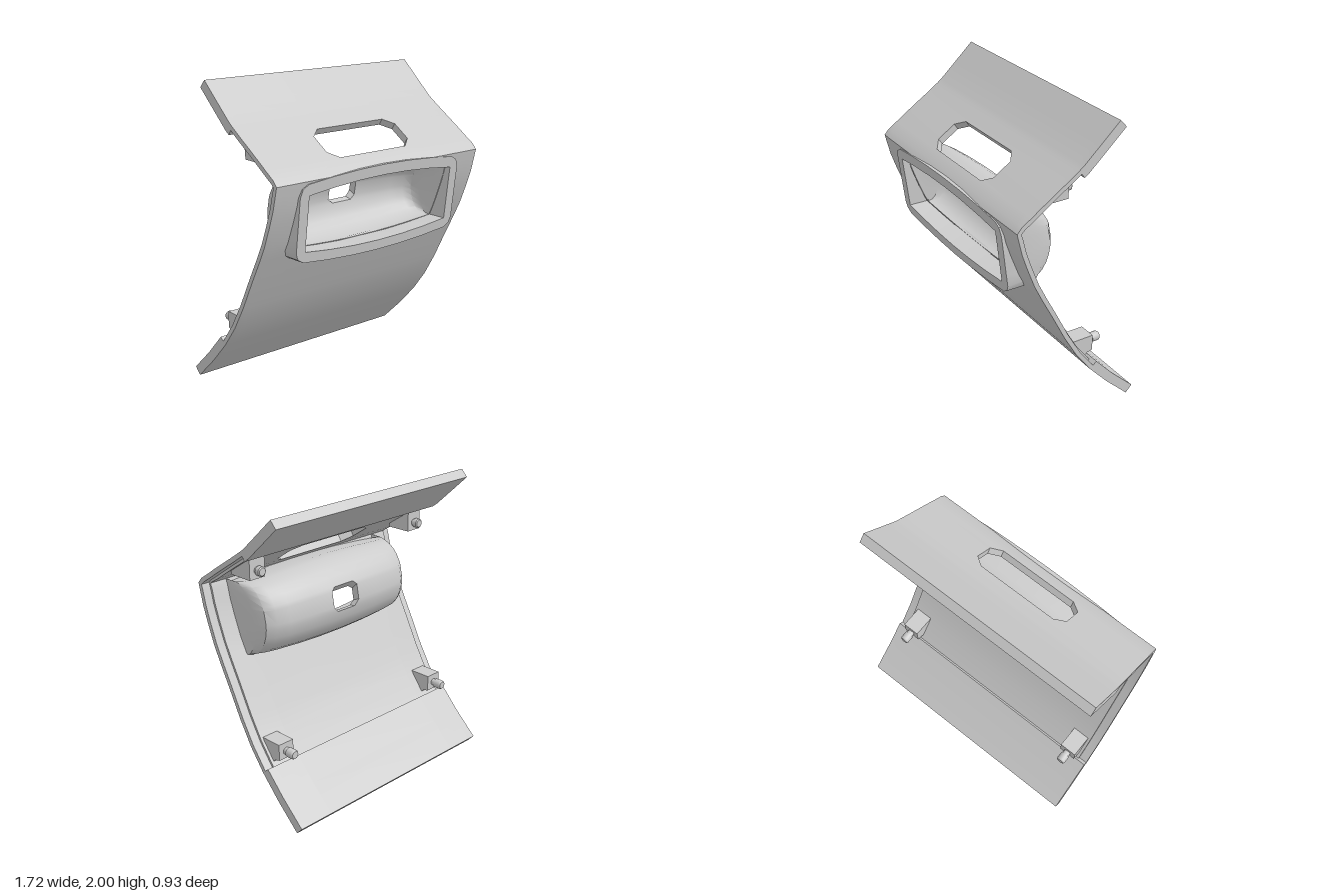
import * as THREE from 'three';
import { toCreasedNormals } from 'three/addons/utils/BufferGeometryUtils.js';

const MAT = new THREE.MeshStandardMaterial({ color: 0xcccccc, side: THREE.DoubleSide });
const rad = THREE.MathUtils.degToRad;

// Panel outline from top to bottom: [z, y, thickness, edge thickness, half width of opening, opening below?]
const ROWS = [
  [-0.25, 2.0, 0.067, 0.067, 0.28],
  [-0.12, 1.88, 0.067, 0.067, 0.28],
  [0, 1.77, 0.067, 0.067, 0.28],
  [0.03, 1.748, 0.067, 0.067, 0.28],
  [0.03, 1.748, 0.048, 0.03, 0.28],
  [0.13, 1.68, 0.048, 0.03, 0.28, 1],
  [0.18, 1.648, 0.048, 0.03, 0.35, 1],
  [0.30, 1.568, 0.048, 0.03, 0.35, 1],
  [0.35, 1.533, 0.048, 0.03, 0.28],
  [0.42, 1.487, 0.045, 0.03, 0.5],
  [0.452, 1.45, 0.045, 0.03, 0.645],
  [0.44, 1.40, 0.045, 0.03, 0.645, 1],
  [0.415, 1.30, 0.045, 0.03, 0.645, 1],
  [0.38, 1.20, 0.045, 0.03, 0.645, 1],
  [0.325, 1.06, 0.045, 0.03, 0.645, 1],
  [0.27, 0.95, 0.045, 0.03, 0.645],
  [0.19, 0.80, 0.045, 0.03, 0.6],
  [0.095, 0.615, 0.045, 0.03, 0.6],
  [0, 0.455, 0.045, 0.03, 0.6],
  [-0.11, 0.31, 0.045, 0.03, 0.6],
  [-0.11, 0.31, 0.065, 0.065, 0.6],
  [-0.25, 0.16, 0.065, 0.065, 0.6],
  [-0.42, 0, 0.065, 0.065, 0.6],
];

// z of the panel's outer face at a height below the fold
function panelZ(y) {
  const yy = Math.min(y, 1.42);
  for (let i = 10; i < ROWS.length - 1; i++) {
    const [z0, y0] = ROWS[i], [z1, y1] = ROWS[i + 1];
    if (yy <= y0 && yy >= y1 && y0 > y1) return z0 + (z1 - z0) * (y0 - yy) / (y0 - y1);
  }
  return 0;
}

// Closed sheet between a front and a back grid of points, with walls round every missing cell
function sheet(front, back, isHole) {
  const pos = [], nr = front.length - 1, nc = front[0].length - 1;
  const tri = (a, b, c) => {
    const n = b.clone().sub(a).cross(c.clone().sub(a));
    if (n.length() > 1e-9) for (const p of [a, b, c]) pos.push(p.x, p.y, p.z);
  };
  const quad = (a, b, c, d) => { tri(a, b, c); tri(a, c, d); };
  const solid = (i, j) => i >= 0 && j >= 0 && i < nr && j < nc && !isHole(i, j);
  for (let i = 0; i < nr; i++) for (let j = 0; j < nc; j++) {
    if (!solid(i, j)) continue;
    const c = [[i, j], [i + 1, j], [i + 1, j + 1], [i, j + 1]];
    const f = c.map(([a, b]) => front[a][b]), k = c.map(([a, b]) => back[a][b]);
    quad(...f);
    quad(k[3], k[2], k[1], k[0]);
    [[i, j - 1], [i + 1, j], [i, j + 1], [i - 1, j]].forEach(([a, b], e) => {
      const n = (e + 1) % 4;
      if (!solid(a, b)) quad(f[e], k[e], k[n], f[n]);
    });
  }
  const g = new THREE.BufferGeometry();
  g.setAttribute('position', new THREE.Float32BufferAttribute(pos, 3));
  return toCreasedNormals(g, 0.62);
}

function panelGeometry() {
  const front = [], back = [];
  ROWS.forEach(([z, y, t, te, h], i) => {
    // averaged inward normal, skipping over doubled rows
    const differs = (r) => r[1] !== y;
    const prev = ROWS.slice(0, i).reverse().find(differs) || ROWS[i];
    const next = ROWS.slice(i + 1).find(differs) || ROWS[i];
    const n = new THREE.Vector2(next[1] - prev[1], prev[0] - next[0]).normalize();
    const cols = [[-0.86, te], [-0.8, te], [-0.8, t], [-h, t], [h, t], [0.8, t], [0.8, te], [0.86, te]];
    front.push(cols.map(([x]) => new THREE.Vector3(x, y, z)));
    back.push(cols.map(([x, d]) => new THREE.Vector3(x, y + n.y * d, z + n.x * d)));
  });
  return sheet(front, back, (i, j) => j === 3 && ROWS[i][5] === 1);
}

// Bowl behind the opening: rows sweep from the top rim round the back to the bottom rim
function bowlGeometry() {
  const angles = [90, 78, 66, 54, 42, 28, 22, 0, -8, -22, -36, -50, -64, -77, -90];
  const holeWidth = { 28: 0.085, 22: 0.115, 0: 0.115, '-8': 0.08 };
  const keep = [1, 1, 1, 0.97, 0.86, 0.6, 0];
  const grid = (xs, yc, b0, a0, rimScale) => {
    const point = (x, k, s, c, rim) => {
      const q = 1 - (x / xs[6]) ** 2;
      const y = yc + (b0 + 0.035 * q) * s * (rim ? rimScale : 1);
      const zr = panelZ(y) - 0.03;
      const z = Math.min(zr, 0.25 - (a0 + 0.04 * q) * c);
      return new THREE.Vector3(x, y, rim ? zr : zr + (z - zr) * k);
    };
    const row = (deg, rim) => {
      const s = Math.sin(rad(deg)), c = Math.cos(rad(deg));
      const half = xs.map((x, i) => [i === 0 ? holeWidth[deg] || 0.1 : x, keep[i]]);
      const all = [...half.map(([x, k]) => [-x, k]).reverse(), ...half];
      return all.map(([x, k]) => point(x, k, s, c, rim));
    };
    return [row(90, true), ...angles.map((d) => row(d, false)), row(-90, true)];
  };
  const inside = grid([0.1, 0.28, 0.43, 0.53, 0.58, 0.605, 0.61], 1.18, 0.18, 0.17, 1);
  const outside = grid([0.1, 0.3, 0.48, 0.58, 0.64, 0.67, 0.677], 1.2, 0.24, 0.22, 0.88);
  return sheet(inside, outside, (i, j) => j === 6 && i >= 6 && i <= 8);
}

// Bowed rectangle: corners cut by r, top and bottom edges arched outward
function bowedOutline(path, w, top, bottom, bow, r) {
  const xs = [-1, -0.67, -0.33, 0, 0.33, 0.67, 1].map((t) => t * (w - r));
  const arch = (x) => bow * (1 - (x / w) ** 2);
  const corner = r * 0.3;
  const pts = xs.map((x) => [x, bottom - arch(x)]);
  if (r > 0) pts.push([w - corner, bottom + corner]);
  for (const t of [r ? r : 0.03, 0.14, 0.26]) pts.push([w, bottom + t]);
  pts.push([w, top - r - 0.01]);
  if (r > 0) pts.push([w - corner, top - corner]);
  const left = pts.slice(7).reverse().map(([x, y]) => [-x, y]);
  pts.push(...xs.slice().reverse().map((x) => [x, top + arch(x)]), ...left);
  path.setFromPoints(pts.map(([x, y]) => new THREE.Vector2(x, y)));
  return path;
}

// Raised rim: sloped flat face, its rear edge following the panel
function rimGeometry() {
  const shape = bowedOutline(new THREE.Shape(), 0.68, 1.425, 0.94, 0.045, 0.06);
  shape.holes.push(bowedOutline(new THREE.Path(), 0.61, 1.36, 1.0, 0.04, 0));
  const g = new THREE.ExtrudeGeometry(shape, { depth: 1, bevelEnabled: false });
  const p = g.attributes.position;
  for (let i = 0; i < p.count; i++) {
    const y = p.getY(i);
    p.setZ(i, p.getZ(i) > 0.5 ? 0.39 + (y - 0.9) * 0.124 : panelZ(y) - 0.025);
  }
  return toCreasedNormals(g, 0.6);
}

// Mounting block (side outline in z, y) with a headed pin pointing backwards
function mount(name, outline, pinY, pinZ, length) {
  const group = new THREE.Group();
  group.name = name;
  const shape = new THREE.Shape(outline.map(([z, y]) => new THREE.Vector2(-z, y)));
  const block = new THREE.ExtrudeGeometry(shape, { depth: 0.12, bevelEnabled: false });
  block.translate(0, 0, -0.06).rotateY(Math.PI / 2);
  const profile = [[0, 0], [0.025, 0], [0.025, length * 0.3], [0.032, length * 0.3],
    [0.032, length * 0.88], [0.025, length], [0, length]].map(([r, l]) => new THREE.Vector2(r, l));
  const pin = toCreasedNormals(new THREE.LatheGeometry(profile, 16), 0.6);
  pin.rotateX(-Math.PI / 2).translate(0, pinY, pinZ);
  group.add(part('mountBlock', block), part('mountPin', pin));
  return group;
}

function part(name, geometry) {
  const mesh = new THREE.Mesh(geometry, MAT);
  mesh.name = name;
  return mesh;
}

export function createModel() {
  const model = new THREE.Group();
  model.name = 'recessedPanel';
  model.add(part('panel', panelGeometry()));
  model.add(part('recessBowl', bowlGeometry()));
  model.add(part('recessRim', rimGeometry()));

  // Four mounts, two on each side
  const upper = [[0.22, 1.54], [0.045, 1.54], [0.045, 1.7], [0.07, 1.7], [0.22, 1.6]];
  const lower = [[-0.01, 0.5], [-0.18, 0.5], [-0.18, 0.39], [-0.14, 0.38], [-0.11, 0.35]];
  for (const [side, x] of [['left', 0.72], ['right', -0.72]]) {
    const a = mount(side + 'UpperMount', upper, 1.595, 0.045, 0.05);
    const b = mount(side + 'LowerMount', lower, 0.44, -0.18, 0.085);
    a.position.x = b.position.x = x;
    model.add(a, b);
  }
  return model;
}
